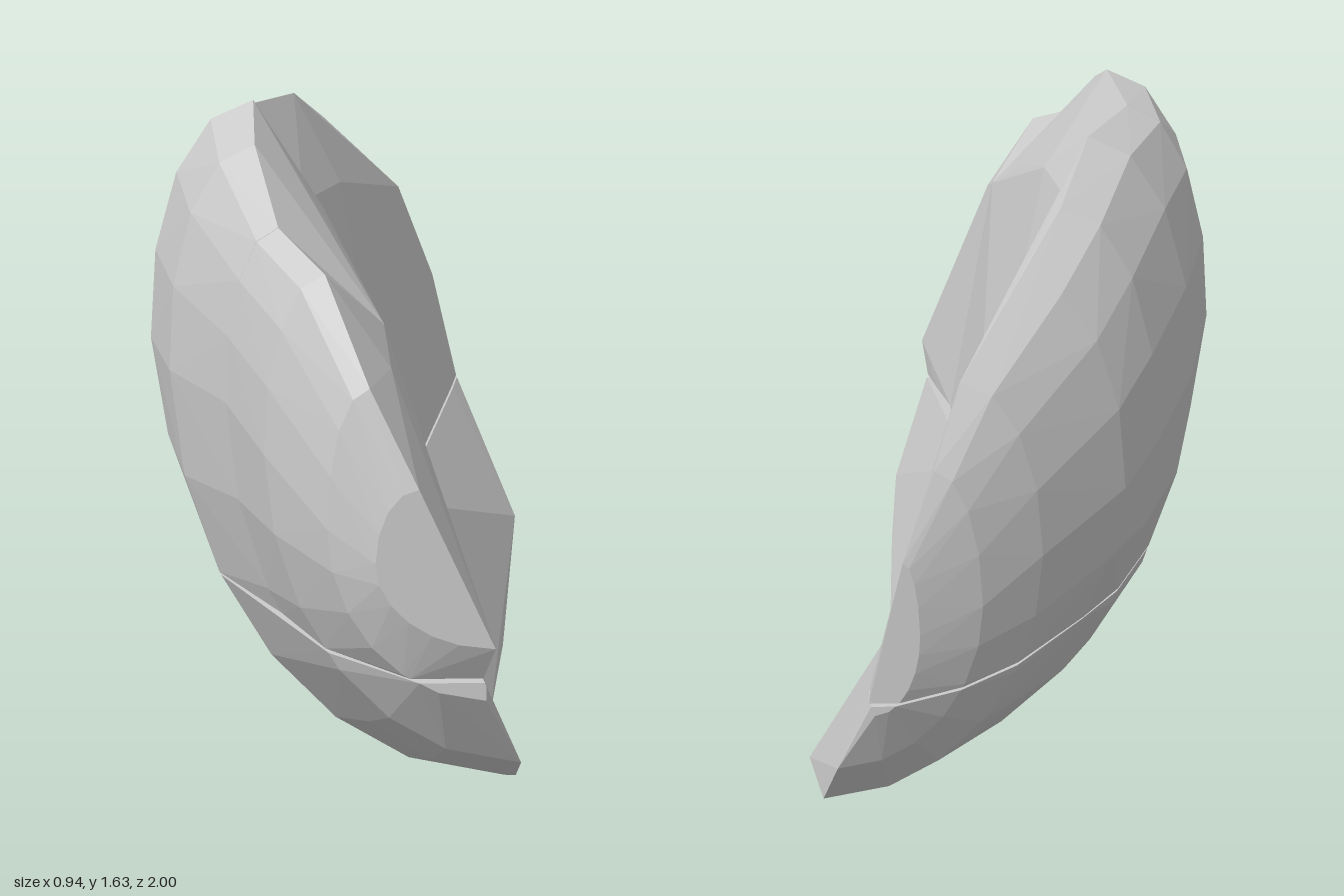
import * as THREE from 'three';
import { ConvexGeometry } from 'three/addons/geometries/ConvexGeometry.js';

const SEAM = 0.61; // height of the crease between upper and lower chunks

// Cross-sections along z: top corner, x of the inner face at the seam, bottom
// corner, outermost point of the rounded back, and bulge of the inner face
const SECTIONS = [
  { z: -1.0, top: [0.24, 0.9], mid: 0.31, low: [0.3, 0.58], out: [0.21, 0.75], bulge: 0 },
  { z: -0.94, top: [0.18, 1.06], mid: 0.31, low: [0.38, 0.43], out: [0.09, 0.78], bulge: 0 },
  { z: -0.84, top: [0.13, 1.2], mid: 0.29, low: [0.42, 0.3], out: [-0.03, 0.84], bulge: 0 },
  { z: -0.64, top: [0.01, 1.35], mid: 0.24, low: [0.465, 0.28], out: [-0.21, 0.9], bulge: 0 },
  { z: -0.5, top: [-0.08, 1.46], mid: 0.21, low: [0.42, 0.155], out: [-0.29, 0.95], bulge: 0.02 },
  { z: -0.27, top: [-0.15, 1.56], mid: 0.16, low: [0.4, 0.06], out: [-0.39, 1.02], bulge: 0.04 },
  { z: 0.01, top: [-0.26, 1.58], mid: 0.1, low: [0.34, 0], out: [-0.46, 1.08], bulge: 0.05 },
  { z: 0.22, top: [-0.23, 1.63], mid: 0.11, low: [0.3, 0.03], out: [-0.47, 1.1], bulge: 0.07 },
  { z: 0.45, top: [-0.22, 1.58], mid: 0.14, low: [0.33, 0.1], out: [-0.41, 1.1], bulge: 0.1 },
  { z: 0.66, top: [-0.17, 1.46], mid: 0.16, low: [0.33, 0.23], out: [-0.28, 1.1], bulge: 0.13 },
  { z: 0.82, top: [-0.08, 1.41], mid: 0.2, low: [0.32, 0.36], out: [-0.2, 1.05], bulge: 0.06 },
  { z: 0.95, top: [0.0, 1.23], mid: 0.23, low: [0.23, 0.58], out: [-0.08, 0.95], bulge: 0.02 },
  { z: 1.0, top: [0.09, 1.05], mid: 0.24, low: [0.24, 0.72], out: [0.01, 0.9], bulge: 0 },
];

// Closed outline: two curves round the back, then the inner face
function outline({ z, top, mid, low, out, bulge }) {
  const pts = [];
  const arc = (end, from, to, steps, power) => {
    for (let i = 0; i <= steps; i++) {
      const a = THREE.MathUtils.lerp(from, to, i / steps);
      pts.push([
        end[0] + (out[0] - end[0]) * Math.cos(a) ** power,
        out[1] + (end[1] - out[1]) * Math.sin(a) ** power,
      ]);
    }
  };
  arc(top, Math.PI / 2, 0, 4, 1);
  // The keel near the middle is flatter than the rounder ends
  if (Math.abs(z - 0.1) < 0.2) arc(low, 0, Math.PI / 3, 4, 1.13);
  else arc(low, 0, Math.PI * 0.4, 5, 1.02);
  pts.push(low);
  if (low[1] < SEAM) pts.push([mid, SEAM]);
  // Shoulder where the inner face bends back towards the top ridge
  if (bulge > 0) {
    pts.push([
      THREE.MathUtils.lerp(mid, top[0], 0.77) + bulge,
      THREE.MathUtils.lerp(SEAM, top[1], 0.77),
    ]);
  }
  return pts;
}

// Keep the part of an outline above (side = 1) or below (side = -1) a height
function clip(pts, y, side) {
  const kept = [];
  pts.forEach((p, i) => {
    const q = pts[(i + 1) % pts.length];
    const dp = (p[1] - y) * side;
    const dq = (q[1] - y) * side;
    if (dp >= 0) kept.push(p);
    if (dp * dq < 0) {
      const t = dp / (dp - dq);
      kept.push([p[0] + (q[0] - p[0]) * t, y]);
    }
  });
  return kept;
}

// Chunks: name, first and last z, cut height, side of the cut
const CHUNKS = [
  ['upperBackChunk', -1, 0.01, 0.607, 1],
  ['upperMiddleChunk', 0.01, 0.66, 0.627, 1],
  ['upperFrontChunk', 0.66, 1, 0.63, 1],
  ['lowerBackChunk', -1, 0.01, 0.6, -1],
  ['lowerMiddleChunk', 0.01, 0.22, 0.621, -1],
  ['lowerFrontChunk', 0.22, 1, 0.62, -1],
];

export function createModel() {
  const group = new THREE.Group();
  group.name = 'rockShard';
  const material = new THREE.MeshStandardMaterial({ color: 0xcccccc, flatShading: true });

  for (const [name, z0, z1, cut, side] of CHUNKS) {
    // Hairline gaps are left between neighbouring chunks
    const lo = z0 > -1 ? z0 + 0.002 : z0;
    const hi = z1 < 1 ? z1 - 0.002 : z1;
    const points = [];
    for (const s of SECTIONS) {
      if (s.z < z0 || s.z > z1) continue;
      const z = THREE.MathUtils.clamp(s.z, lo, hi);
      for (const [x, y] of clip(outline(s), cut, side)) points.push(new THREE.Vector3(x, y, z));
    }
    const mesh = new THREE.Mesh(new ConvexGeometry(points), material);
    mesh.name = name;
    group.add(mesh);
  }
  return group;
}
